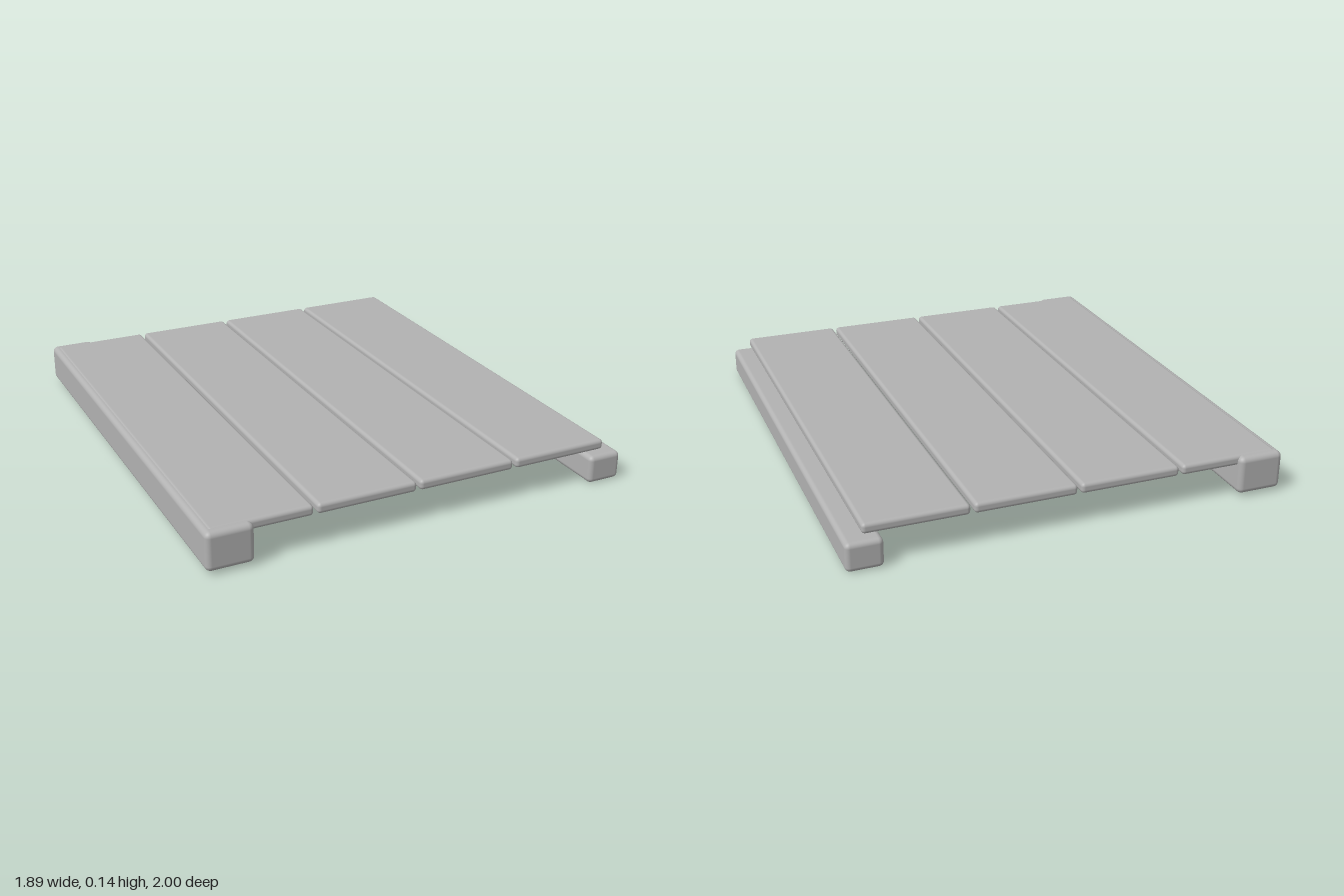
import * as THREE from 'three';
import { RoundedBoxGeometry } from 'three/addons/geometries/RoundedBoxGeometry.js';

export function createModel() {
  const model = new THREE.Group();
  model.name = 'plankPlatform';

  const grey = new THREE.MeshStandardMaterial({ color: 0xb2b2b2 });
  grey.name = 'plain grey';

  // The whole platform is turned 20 degrees about the vertical
  const platform = new THREE.Group();
  platform.name = 'platform';
  platform.rotation.y = THREE.MathUtils.degToRad(20);
  model.add(platform);

  // Rounded block from its x range, y range and full length along z
  function block(name, x0, x1, y0, y1, length, radius) {
    const geometry = new RoundedBoxGeometry(x1 - x0, y1 - y0, length, 3, radius);
    const mesh = new THREE.Mesh(geometry, grey);
    mesh.name = name;
    mesh.position.set((x0 + x1) / 2, (y0 + y1) / 2, 0);
    platform.add(mesh);
    return mesh;
  }

  // Supporting beams: the right one is taller and flush with the deck
  block('rightBeam', -0.719, -0.567, 0.01, 0.137, 1.61, 0.018);
  block('leftBeam', 0.602, 0.719, 0, 0.094, 1.61, 0.016);

  // Deck planks with narrow gaps
  const pitch = 0.3445;
  for (let i = 0; i < 4; i++) {
    const start = -0.704 + i * pitch;
    block(`plank${i + 1}`, start, start + pitch - 0.012, 0.105, 0.139, 1.568, 0.012);
  }

  return model;
}
